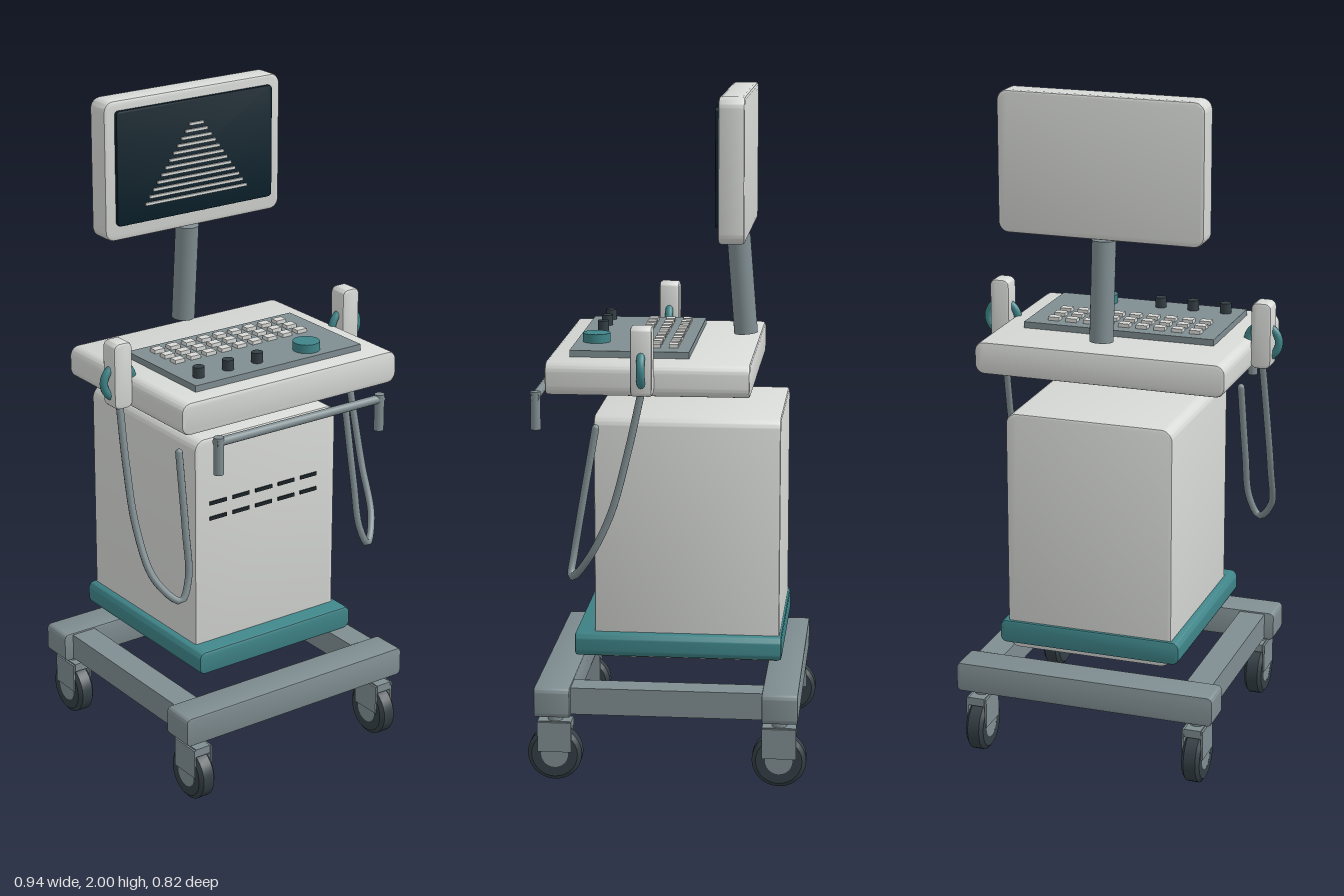
import * as THREE from 'three';
import { toCreasedNormals } from 'three/addons/utils/BufferGeometryUtils.js';

const material = (name, color) => {
  const m = new THREE.MeshStandardMaterial({ color });
  m.name = name;
  return m;
};

export function createModel() {
  const model = new THREE.Group();
  model.name = 'ultrasoundCart';

  const shell = material('shell light grey', 0xd8dad7);
  const steel = material('steel grey', 0x7f8d91);
  const teal = material('teal', 0x3f8589);
  const rubber = material('rubber dark grey', 0x343f45);
  const glass = material('screen navy', 0x0a202b);
  const vent = material('vent black', 0x1c2429);

  const add = (name, geometry, mat, x = 0, y = 0, z = 0, parent = model) => {
    const mesh = new THREE.Mesh(geometry, mat);
    mesh.name = name;
    mesh.position.set(x, y, z);
    parent.add(mesh);
    return mesh;
  };
  const box = (w, h, d) => new THREE.BoxGeometry(w, h, d);
  const cyl = (r, h, n = 24) => new THREE.CylinderGeometry(r, r, h, n);

  // Centred box whose outline is rounded in x/y, with small bevels front and back
  function slab(w, h, d, r, b = 0.008) {
    const s = new THREE.Shape();
    const X = w / 2 - b, Y = h / 2 - b, R = Math.max(r - b, 0.002);
    s.moveTo(-X + R, -Y);
    s.lineTo(X - R, -Y);
    s.absarc(X - R, -Y + R, R, -Math.PI / 2, 0);
    s.lineTo(X, Y - R);
    s.absarc(X - R, Y - R, R, 0, Math.PI / 2);
    s.lineTo(-X + R, Y);
    s.absarc(-X + R, Y - R, R, Math.PI / 2, Math.PI);
    s.lineTo(-X, -Y + R);
    s.absarc(-X + R, -Y + R, R, Math.PI, Math.PI * 1.5);
    const g = new THREE.ExtrudeGeometry(s, {
      depth: d - 2 * b, bevelSize: b, bevelThickness: b, bevelSegments: 2, curveSegments: 5,
    });
    g.translate(0, 0, -d / 2 + b);
    return toCreasedNormals(g, 0.65);
  }

  // Base frame
  for (const s of [-1, 1]) {
    add(s > 0 ? 'frontBar' : 'rearBar', slab(0.8, 0.09, 0.105, 0.015, 0.004), steel, 0, 0.246, s * 0.333);
    add('sideRail', box(0.08, 0.08, 0.58), steel, s * 0.33, 0.246, 0);
  }

  // Casters
  const tyre = new THREE.LatheGeometry([
    [0.04, -0.0275], [0.068, -0.0275], [0.08, -0.018], [0.08, 0.018], [0.068, 0.0275], [0.04, 0.0275],
  ].map(([x, y]) => new THREE.Vector2(x, y)), 28);
  const tyreGeometry = toCreasedNormals(tyre, 0.5);
  for (const x of [-0.34, 0.34]) {
    for (const z of [-0.33, 0.33]) {
      const caster = new THREE.Group();
      caster.name = 'caster';
      caster.position.set(x, 0, z);
      model.add(caster);
      add('tyre', tyreGeometry, rubber, 0, 0.08, 0, caster).rotation.z = Math.PI / 2;
      add('hub', cyl(0.041, 0.054), steel, 0, 0.08, 0, caster).rotation.z = Math.PI / 2;
      add('forkCrown', box(0.05, 0.025, 0.1), steel, 0, 0.168, 0, caster);
      for (const s of [-1, 1]) add('forkPlate', box(0.006, 0.09, 0.1), steel, s * 0.029, 0.133, 0, caster);
      add('swivelStem', cyl(0.022, 0.035, 16), steel, 0, 0.19, 0, caster);
    }
  }

  // Cabinet, bumper band and vents
  add('cabinet', slab(0.51, 0.735, 0.545, 0.035), shell, 0, 0.708, -0.05);
  add('bumperBand', slab(0.56, 0.072, 0.61, 0.022), teal, 0, 0.39, -0.025);
  for (const y of [0.822, 0.87]) {
    for (let i = 0; i < 5; i++) add('ventSlot', box(0.06, 0.011, 0.006), vent, -0.175 + i * 0.0825, y, 0.223);
  }

  // Console with control panel
  add('console', slab(0.765, 0.098, 0.585, 0.03), shell, 0, 1.207, 0.0525);
  add('controlPanel', box(0.59, 0.022, 0.345), steel, 0, 1.264, 0.1125);
  for (let row = 0; row < 3; row++) {
    for (let i = 0; i < 9; i++) {
      add('key', box(0.034, 0.012, 0.027), shell, -0.225 + i * 0.055, 1.28, -0.009 + row * 0.0515);
    }
  }
  for (let i = 0; i < 3; i++) add('knob', cyl(0.017, 0.032, 20), rubber, -0.245 + i * 0.1025, 1.29, 0.228);
  add('trackball', cyl(0.04, 0.026, 32), teal, 0.14, 1.288, 0.225);

  // Push handle
  add('handleBar', cyl(0.013, 0.6, 16), steel, 0, 1.137, 0.386).rotation.z = Math.PI / 2;
  for (const s of [-1, 1]) add('handleDrop', cyl(0.015, 0.112, 16), steel, s * 0.288, 1.096, 0.386);

  // Probes in ring holders, with looping cables
  const cablePath = [
    [0.408, 1.18, 0.065], [0.414, 1.0, 0.105], [0.415, 0.82, 0.155], [0.4, 0.68, 0.225],
    [0.345, 0.618, 0.278], [0.315, 0.68, 0.273], [0.308, 0.82, 0.25], [0.302, 1.05, 0.21],
  ];
  for (const s of [-1, 1]) {
    const side = new THREE.Group();
    side.name = s > 0 ? 'leftProbe' : 'rightProbe';
    model.add(side);
    add('probeBody', slab(0.062, 0.2, 0.062, 0.02), shell, s * 0.41, 1.27, 0.063, side);
    add('holderRing', new THREE.TorusGeometry(0.048, 0.012, 12, 32), teal, s * 0.41, 1.247, 0.063, side);
    const curve = new THREE.CatmullRomCurve3(cablePath.map(([x, y, z]) => new THREE.Vector3(s * x, y, z)));
    add('cable', new THREE.TubeGeometry(curve, 64, 0.011, 10), steel, 0, 0, 0, side);
    for (const [x, y, z] of [cablePath[0], cablePath[7]]) {
      add('cableEnd', new THREE.SphereGeometry(0.011, 10, 8), steel, s * x, y, z, side);
    }
  }

  // Leaning monitor post
  add('monitorPost', cyl(0.035, 0.296, 24), steel, 0, 1.43, -0.191).rotation.x = 0.08;

  // Monitor with scan image
  add('monitorCase', slab(0.62, 0.415, 0.075, 0.032), shell, 0, 1.7925, -0.179);
  add('screen', slab(0.55, 0.34, 0.014, 0.012, 0.002), glass, 0, 1.8, -0.138);
  for (let i = 0; i < 12; i++) {
    add('scanLine', box(0.05 + i * 0.0282, 0.008, 0.006), shell, 0, 1.897 - i * 0.0195, -0.129);
  }

  return model;
}
